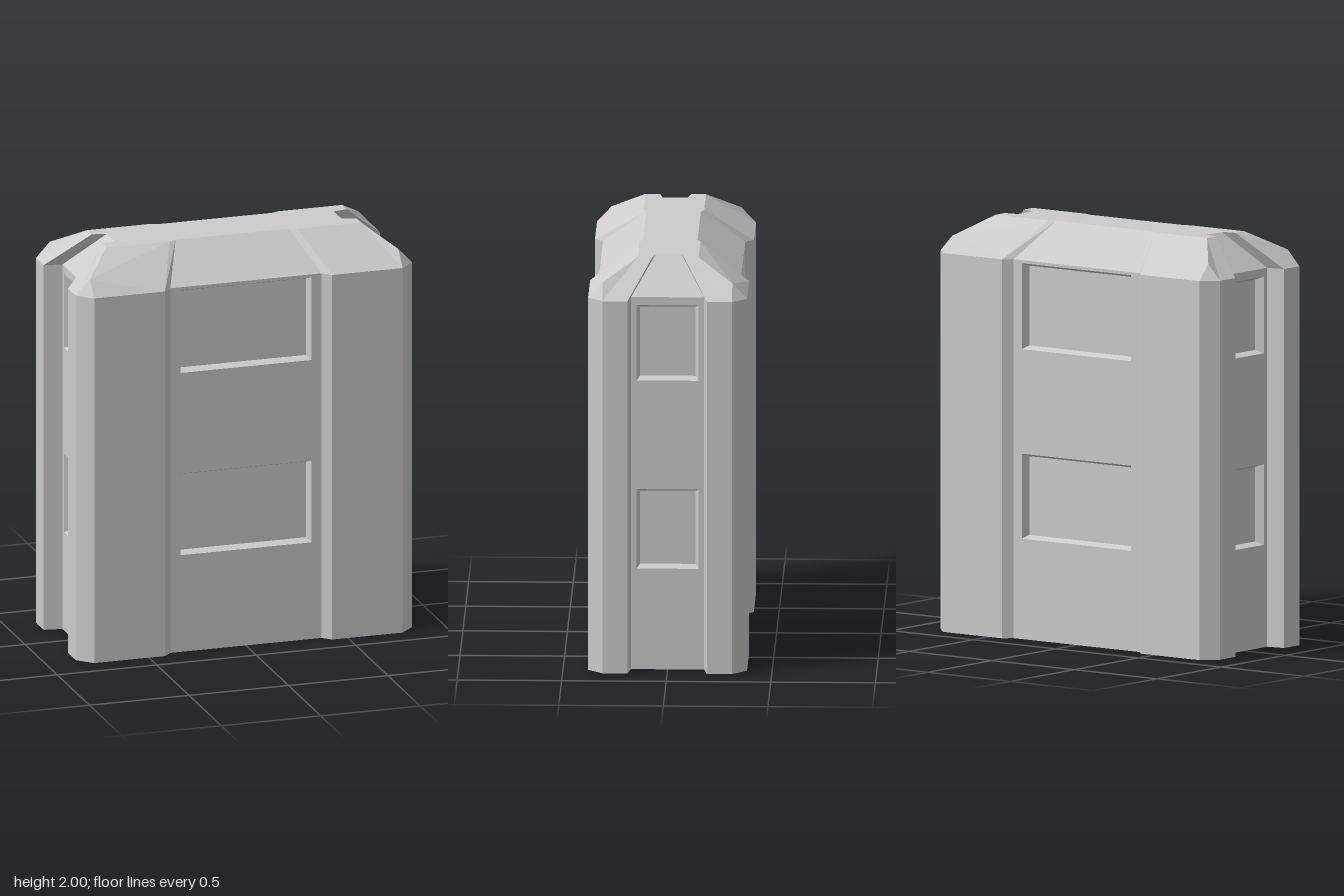
import * as THREE from 'three';

const EAVE = 1.83, TOP = 2;

// Quarter plan outline, from the front panel edge round to the side recess: [x, z]
const BASE = [[0.38, 0.34], [0.42, 0.38], [0.775, 0.38], [0.845, 0.31], [0.845, 0.19], [0.755, 0.175]];
const CROWN = [[0.285, 0.13], [0.32, 0.145], [0.64, 0.145], [0.64, 0.145], [0.64, 0.075], [0.57, 0.06]];

const material = new THREE.MeshStandardMaterial({ color: 0xcccccc, flatShading: true });

// Mesh made of flat polygons, each fanned from its first corner
function polygonMesh(name, polygons) {
  const pos = [];
  for (const p of polygons)
    for (let i = 1; i < p.length - 1; i++) pos.push(...p[0], ...p[i], ...p[i + 1]);
  const geo = new THREE.BufferGeometry();
  geo.setAttribute('position', new THREE.Float32BufferAttribute(pos, 3));
  geo.computeVertexNormals();
  const mesh = new THREE.Mesh(geo, material);
  mesh.name = name;
  return mesh;
}

// Mirror polygons into another quarter, keeping them facing outwards
function mirrored(polygons, sx, sz) {
  return polygons.map((p) => {
    const q = p.map(([x, y, z]) => [x * sx, y, z * sz]);
    return sx * sz < 0 ? q.reverse() : q;
  });
}

// Full closed outline from the quarter outline
function fullOutline(q) {
  const r = [...q].reverse();
  return [
    ...q,
    ...r.map(([x, z]) => [x, -z]),
    ...q.map(([x, z]) => [-x, -z]),
    ...r.map(([x, z]) => [-x, z]),
  ];
}

// Flat wall with two bevelled recessed windows
function windowWall(name, half, winHalf, rows, dist, turn) {
  const group = new THREE.Group();
  group.name = name;
  const bevel = 0.015, depth = 0.04;
  const shape = new THREE.Shape([[-half, 0], [half, 0], [half, EAVE], [-half, EAVE]].map((p) => new THREE.Vector2(...p)));
  for (const [lo, hi] of rows) {
    const rect = (b, z) => [
      [-winHalf + b, lo + b, z], [winHalf - b, lo + b, z],
      [winHalf - b, hi - b, z], [-winHalf + b, hi - b, z],
    ];
    const outer = rect(0, 0), inner = rect(bevel, -depth);
    shape.holes.push(new THREE.Path(outer.map(([x, y]) => new THREE.Vector2(x, y))));
    const frame = outer.map((p, i) => {
      const j = (i + 1) % 4;
      return [p, outer[j], inner[j], inner[i]];
    });
    group.add(polygonMesh('windowFrame', frame), polygonMesh('windowPane', [inner]));
  }
  const wall = new THREE.Mesh(new THREE.ShapeGeometry(shape), material);
  wall.name = 'wall';
  group.add(wall);
  group.rotation.y = turn;
  group.position.set(Math.sin(turn) * dist, 0, Math.cos(turn) * dist);
  return group;
}

export function createModel() {
  const model = new THREE.Group();
  model.name = 'block';

  const foot = BASE.map(([x, z]) => [x, 0, z]);
  const eave = BASE.map(([x, z]) => [x, EAVE, z]);
  const crown = CROWN.map(([x, z]) => [x, TOP, z]);
  const peak = [0.775, 1.905, 0.31];

  // Corner pillars and their sloping roofs
  const walls = [];
  for (let i = 0; i < 5; i++) walls.push([foot[i], foot[i + 1], eave[i + 1], eave[i]]);
  const roofs = [
    [eave[0], eave[1], crown[1], crown[0]],
    [crown[2], crown[1], eave[1], eave[2], peak],
    [eave[2], eave[3], peak],
    [crown[2], peak, eave[3], eave[4], crown[4]],
    [eave[4], eave[5], crown[5], crown[4]],
  ];
  for (const sx of [1, -1])
    for (const sz of [1, -1]) {
      const corner = (sz > 0 ? 'front' : 'back') + (sx > 0 ? 'Left' : 'Right');
      model.add(polygonMesh(corner + 'Pillar', mirrored(walls, sx, sz)));
      model.add(polygonMesh(corner + 'PillarRoof', mirrored(roofs, sx, sz)));
    }

  // Sloping roofs over the four window walls
  const flip = ([x, y, z], sx, sz) => [x * sx, y, z * sz];
  const longSlope = [[flip(eave[0], -1, 1), eave[0], crown[0], flip(crown[0], -1, 1)]];
  const endSlope = [[eave[5], flip(eave[5], 1, -1), flip(crown[5], 1, -1), crown[5]]];
  for (const s of [1, -1]) {
    model.add(polygonMesh(s > 0 ? 'frontRoof' : 'backRoof', mirrored(longSlope, 1, s)));
    model.add(polygonMesh(s > 0 ? 'leftRoof' : 'rightRoof', mirrored(endSlope, s, 1)));
  }

  // Window walls
  const longRows = [[0.485, 0.895], [1.4, 1.815]];
  const endRows = [[0.495, 0.885], [1.42, 1.79]];
  model.add(windowWall('frontWall', 0.38, 0.33, longRows, 0.34, 0));
  model.add(windowWall('backWall', 0.38, 0.33, longRows, 0.34, Math.PI));
  model.add(windowWall('leftWall', 0.175, 0.148, endRows, 0.755, Math.PI / 2));
  model.add(windowWall('rightWall', 0.175, 0.148, endRows, 0.755, -Math.PI / 2));

  // Flat top and underside
  const crownQuarter = CROWN.filter((_, i) => i !== 3);
  const topShape = new THREE.Shape(fullOutline(crownQuarter).map(([x, z]) => new THREE.Vector2(x, -z)));
  const top = new THREE.Mesh(new THREE.ShapeGeometry(topShape).rotateX(-Math.PI / 2), material);
  top.position.y = TOP;
  top.name = 'flatTop';
  const baseShape = new THREE.Shape(fullOutline(BASE).map(([x, z]) => new THREE.Vector2(x, z)));
  const base = new THREE.Mesh(new THREE.ShapeGeometry(baseShape).rotateX(Math.PI / 2), material);
  base.name = 'underside';
  model.add(top, base);

  return model;
}
